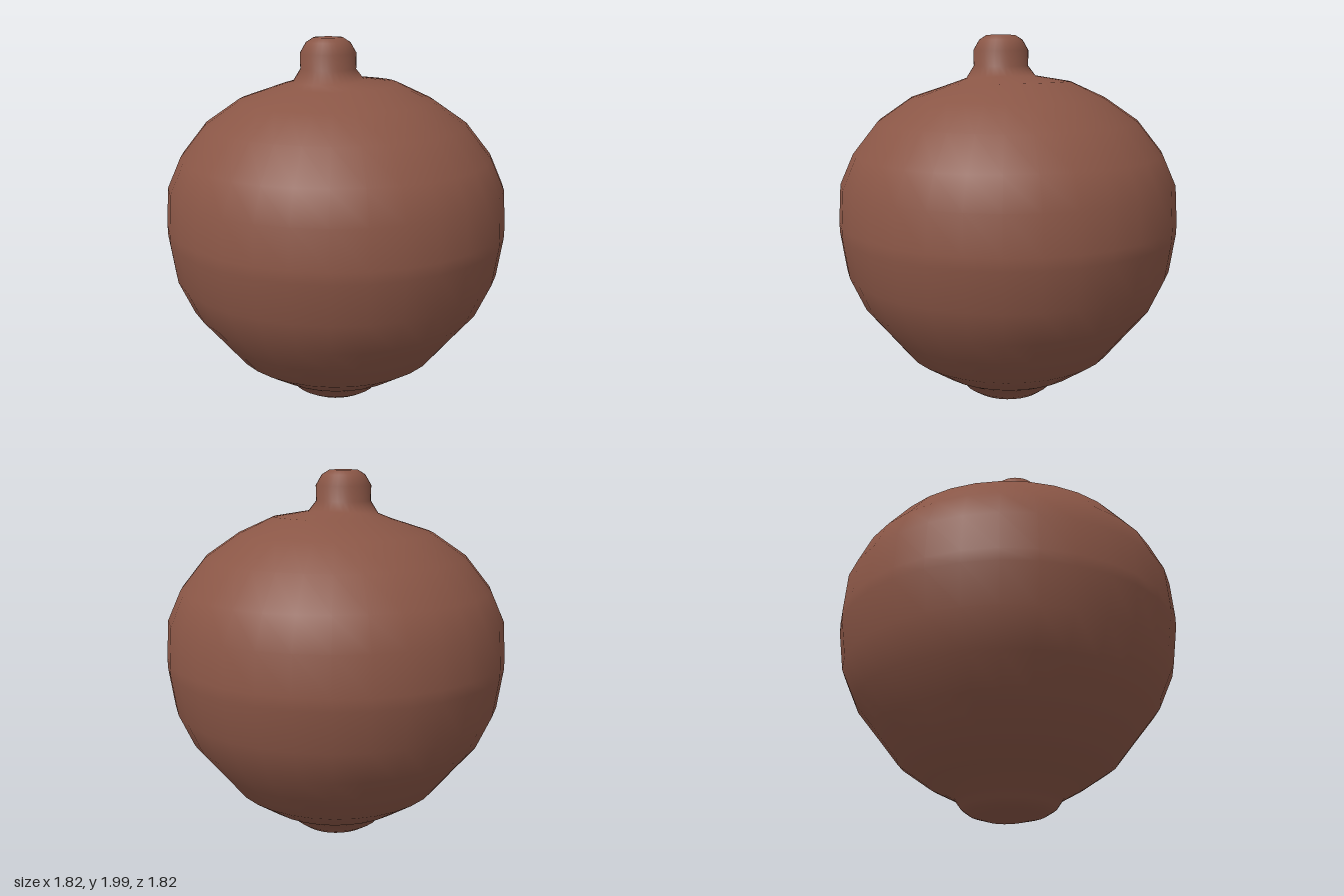
import * as THREE from 'three';
import { mergeVertices } from 'three/addons/utils/BufferGeometryUtils.js';

const brown = new THREE.MeshStandardMaterial({ color: 0x8a5646 });
brown.name = 'brown';

// rings from bottom to top: radius, height, z offset, tilt (height gained per unit of z)
const rings = [
  [0, 0.01, 0, 0.04], [0.12, 0.01, 0, 0.04], [0.2, 0.03, 0, 0], [0.245, 0.06, 0.005, 0],
  [0.28, 0.11, 0.005, 0], [0.41, 0.18, -0.005, 0], [0.57, 0.29, 0, 0], [0.68, 0.43, 0, 0],
  [0.8, 0.58, 0, 0], [0.88, 0.76, 0, 0], [0.91, 0.97, 0, 0], [0.911, 1.03, 0, 0],
  [0.897, 1.23, 0, 0], [0.825, 1.39, 0, 0], [0.693, 1.555, 0, 0], [0.515, 1.677, 0, 0],
  [0.315, 1.755, -0.02, -0.03], [0.185, 1.782, 0.055, -0.05], [0.145, 1.84, 0.055, 0],
  [0.147, 1.92, 0.055, 0], [0.115, 1.975, 0.055, 0], [0.075, 2, 0.055, 0], [0, 2, 0.055, 0],
];

// lathe whose rings are shifted and tilted, with the seam welded for smooth normals
function bentLathe(rows, segments) {
  let geo = new THREE.LatheGeometry(rows.map(([r, y]) => new THREE.Vector2(r, y)), segments);
  const pos = geo.attributes.position;
  for (let i = 0; i < pos.count; i++) {
    const [, y, offset, tilt] = rows[i % rows.length];
    const z = pos.getZ(i);
    pos.setY(i, y + z * tilt);
    pos.setZ(i, z + offset);
  }
  geo.deleteAttribute('uv');
  geo.deleteAttribute('normal');
  geo = mergeVertices(geo, 1e-4);
  geo.computeVertexNormals();
  return geo;
}

export function createModel() {
  const group = new THREE.Group();
  group.name = 'roundFruit';
  // one continuous skin: foot, round body and short stem knob
  const body = new THREE.Mesh(bentLathe(rings, 32), brown);
  body.name = 'fruitBody';
  group.add(body);
  return group;
}
